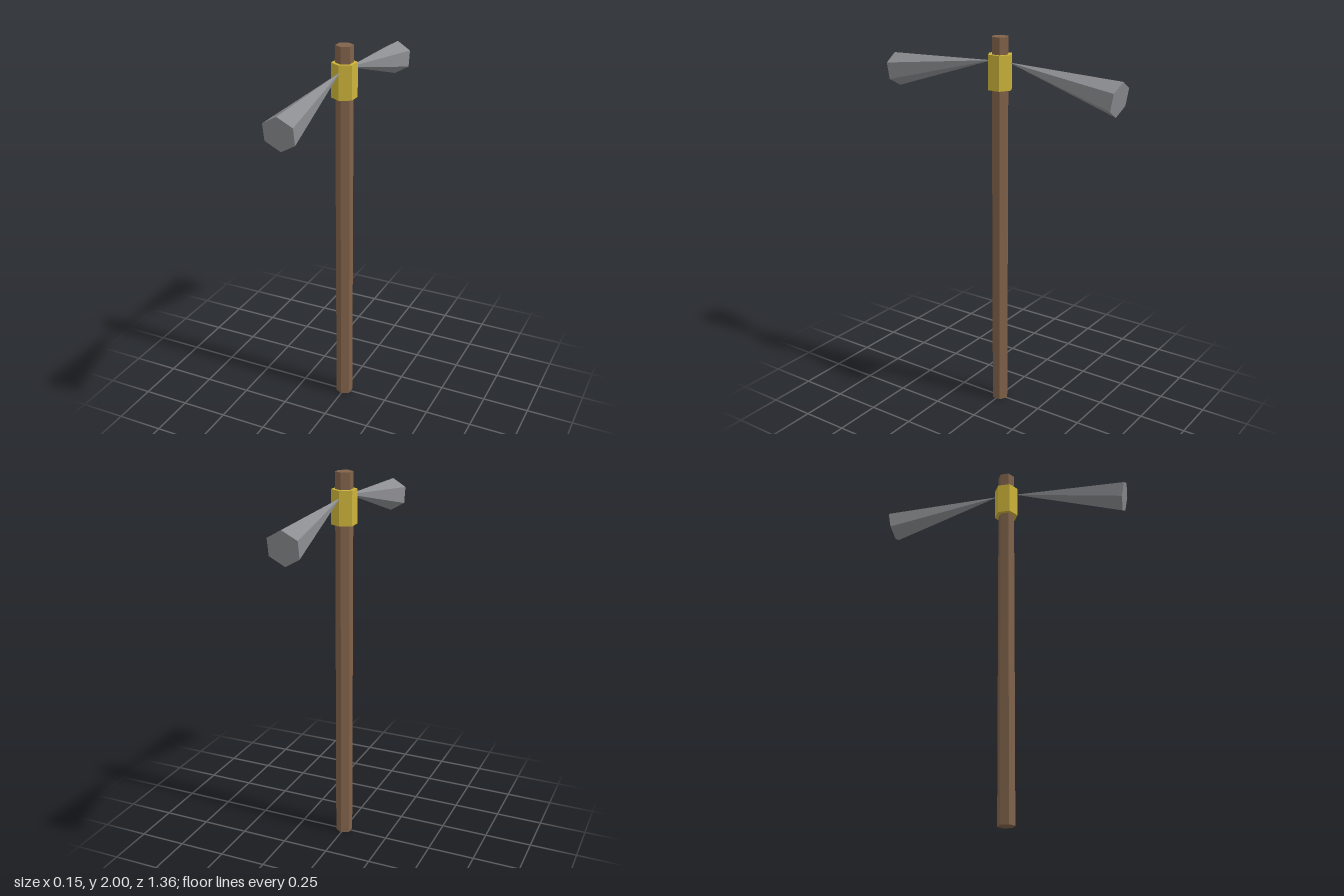
import * as THREE from 'three';

function material(name, color) {
  const m = new THREE.MeshStandardMaterial({ color, flatShading: true });
  m.name = name;
  return m;
}

export function createModel() {
  const model = new THREE.Group();
  model.name = 'pickaxe';
  const wood = material('wood', 0x80624a);
  const brass = material('brass', 0xcdb33a);
  const steel = material('steel', 0x8c8d91);

  function add(name, geometry, mat) {
    const mesh = new THREE.Mesh(geometry, mat);
    mesh.name = name;
    model.add(mesh);
    return mesh;
  }

  // Six-sided handle, full height
  add('handle', new THREE.CylinderGeometry(0.045, 0.045, 2, 6), wood).position.y = 1;

  // Collar holding the two heads
  add('collar', new THREE.CylinderGeometry(0.065, 0.065, 0.175, 6), brass).position.y = 1.8275;

  // Heads: cones with their tips in the collar, flaring outward and drooping 10 degrees
  const length = 0.622;
  const head = new THREE.ConeGeometry(0.087, length, 6)
    .translate(0, -length / 2, 0)
    .rotateX(THREE.MathUtils.degToRad(-80));
  for (const [name, side] of [['frontHead', 1], ['backHead', -1]]) {
    const mesh = add(name, head, steel);
    mesh.position.set(0, 1.878, 0.05 * side);
    if (side < 0) mesh.rotation.y = Math.PI;
  }
  return model;
}
